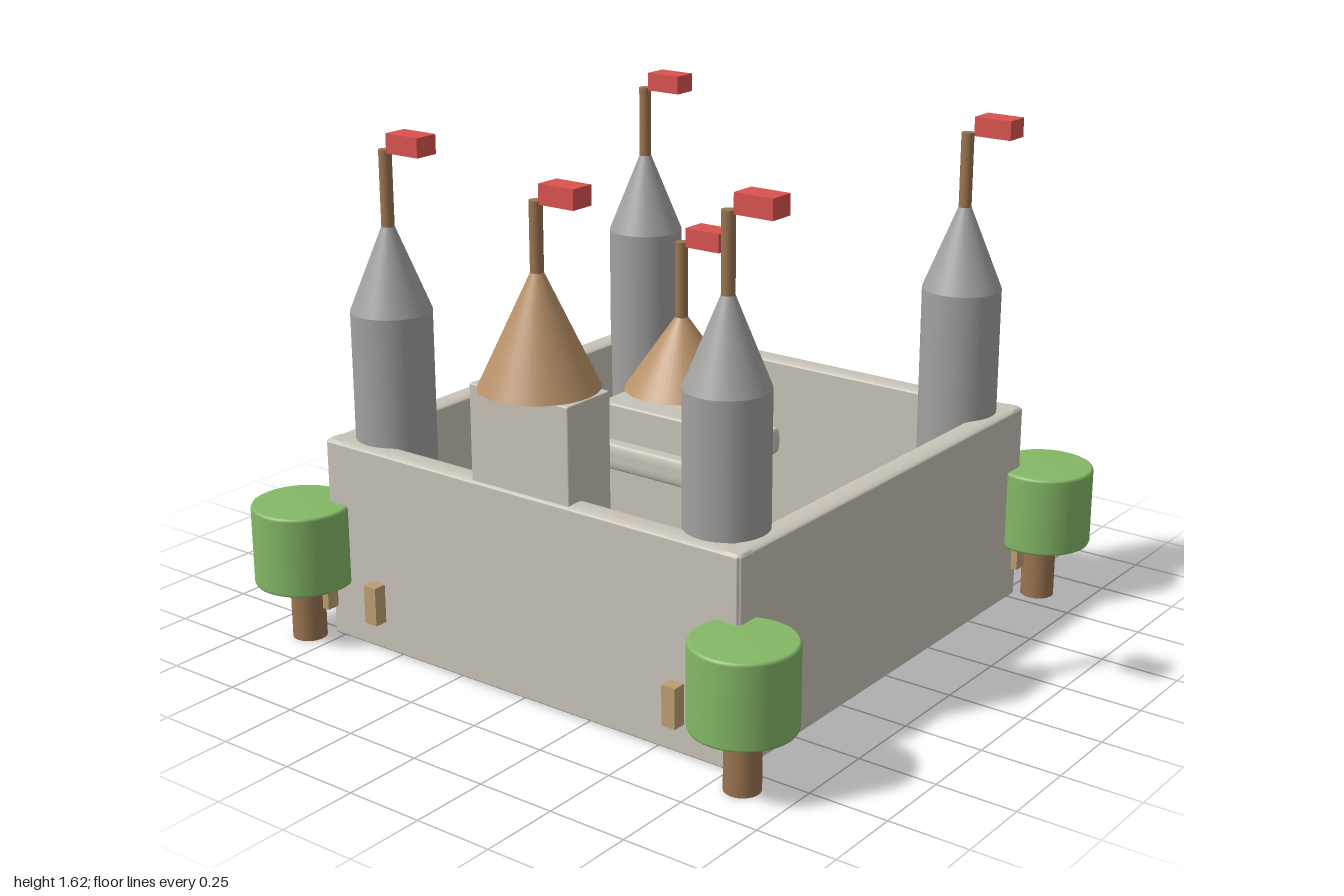
import * as THREE from 'three';
import { RoundedBoxGeometry } from 'three/addons/geometries/RoundedBoxGeometry.js';

const paint = (color) => new THREE.MeshStandardMaterial({ color });
const stone = paint(0xc9c3b8), towerGrey = paint(0xa3a1a0), roofTan = paint(0xb89168);
const wood = paint(0x9a7450), blockTan = paint(0xbd9d72), leaf = paint(0x84b866), red = paint(0xd9534f);

function add(parent, name, geometry, material, x, y, z) {
  const mesh = new THREE.Mesh(geometry, material);
  mesh.name = name;
  mesh.position.set(x, y, z);
  parent.add(mesh);
  return mesh;
}

// Box with a slim edge radius, stretched along one axis to soften the thin sides
function softBox(w, h, d, axis, stretch = 3, r = 0.011) {
  const size = { x: w, y: h, z: d }, scale = { x: 1, y: 1, z: 1 };
  if (axis) {
    size[axis] /= stretch;
    scale[axis] = stretch;
  }
  const g = new RoundedBoxGeometry(size.x, size.y, size.z, 4, r);
  return g.scale(scale.x, scale.y, scale.z);
}

// Conical roof with a pole and a flag beside the pole's top
function addRoof(parent, x, z, radius, base, tip, poleTop, flagY, material) {
  const roof = new THREE.CylinderGeometry(0.02, radius, tip - base, 48);
  add(parent, 'roof', roof, material, x, (base + tip) / 2, z);
  const poleBase = tip - 0.04;
  const pole = new THREE.CylinderGeometry(0.02, 0.02, poleTop - poleBase, 24);
  add(parent, 'flagPole', pole, wood, x, (poleTop + poleBase) / 2, z);
  add(parent, 'flag', new THREE.BoxGeometry(0.125, 0.06, 0.08), red, x + 0.107, flagY, z);
}

function section(parent, name) {
  const group = new THREE.Group();
  group.name = name;
  parent.add(group);
  return group;
}

export function createModel() {
  const castle = new THREE.Group();
  castle.name = 'castle';

  // Four curtain walls around an open courtyard
  const walls = section(castle, 'walls');
  for (const s of [-1, 1]) {
    add(walls, s > 0 ? 'frontWall' : 'backWall', softBox(1.57, 0.655, 0.08, 'z'), stone, 0, 0.3275, s * 0.747);
    add(walls, s > 0 ? 'leftWall' : 'rightWall', softBox(0.08, 0.655, 1.57, 'x'), stone, s * 0.747, 0.3275, 0);
  }

  // Gatehouse straddling the front wall
  const gate = section(castle, 'gatehouse');
  add(gate, 'gatehouseBody', softBox(0.37, 0.95, 0.19, null, 1, 0.005), stone, 0, 0.475, 0.682);
  addRoof(gate, 0, 0.68, 0.18, 0.95, 1.29, 1.5, 1.53, roofTan);

  // Keep in the courtyard with a projecting ledge
  const keep = section(castle, 'keep');
  add(keep, 'keepBody', softBox(0.365, 0.737, 0.365, null, 1, 0.008), stone, 0, 0.3685, 0);
  add(keep, 'keepLedge', softBox(0.45, 0.085, 0.45, 'y'), stone, 0, 0.578, 0);
  addRoof(keep, 0, 0, 0.18, 0.77, 1.0, 1.24, 1.267, roofTan);

  for (const sx of [-1, 1]) {
    for (const sz of [-1, 1]) {
      // Corner tower
      const tower = section(castle, 'cornerTower');
      add(tower, 'towerBody', new THREE.CylinderGeometry(0.125, 0.125, 1.06, 48), towerGrey, sx * 0.63, 0.53, sz * 0.63);
      addRoof(tower, sx * 0.63, sz * 0.63, 0.125, 1.06, 1.32, 1.555, 1.585, towerGrey);

      // Tree outside the corner
      const tree = section(castle, 'tree');
      add(tree, 'trunk', new THREE.CylinderGeometry(0.054, 0.054, 0.22, 32), wood, sx * 0.84, 0.11, sz * 0.84);
      const outline = [[0, 0.19], [0.147, 0.19], [0.153, 0.193], [0.156, 0.2], [0.156, 0.44], [0.153, 0.447], [0.147, 0.45], [0, 0.45]];
      const crown = new THREE.LatheGeometry(outline.map(([r, y]) => new THREE.Vector2(r, y)), 48);
      add(tree, 'foliage', crown, leaf, sx * 0.844, 0, sz * 0.844);

      // Small wooden blocks on the front and back walls
      for (const x of [0.577, 0.785]) {
        add(castle, 'woodBlock', new THREE.BoxGeometry(0.047, 0.125, 0.08), blockTan, sx * x, 0.163, sz * 0.79);
      }
    }
  }
  return castle;
}
